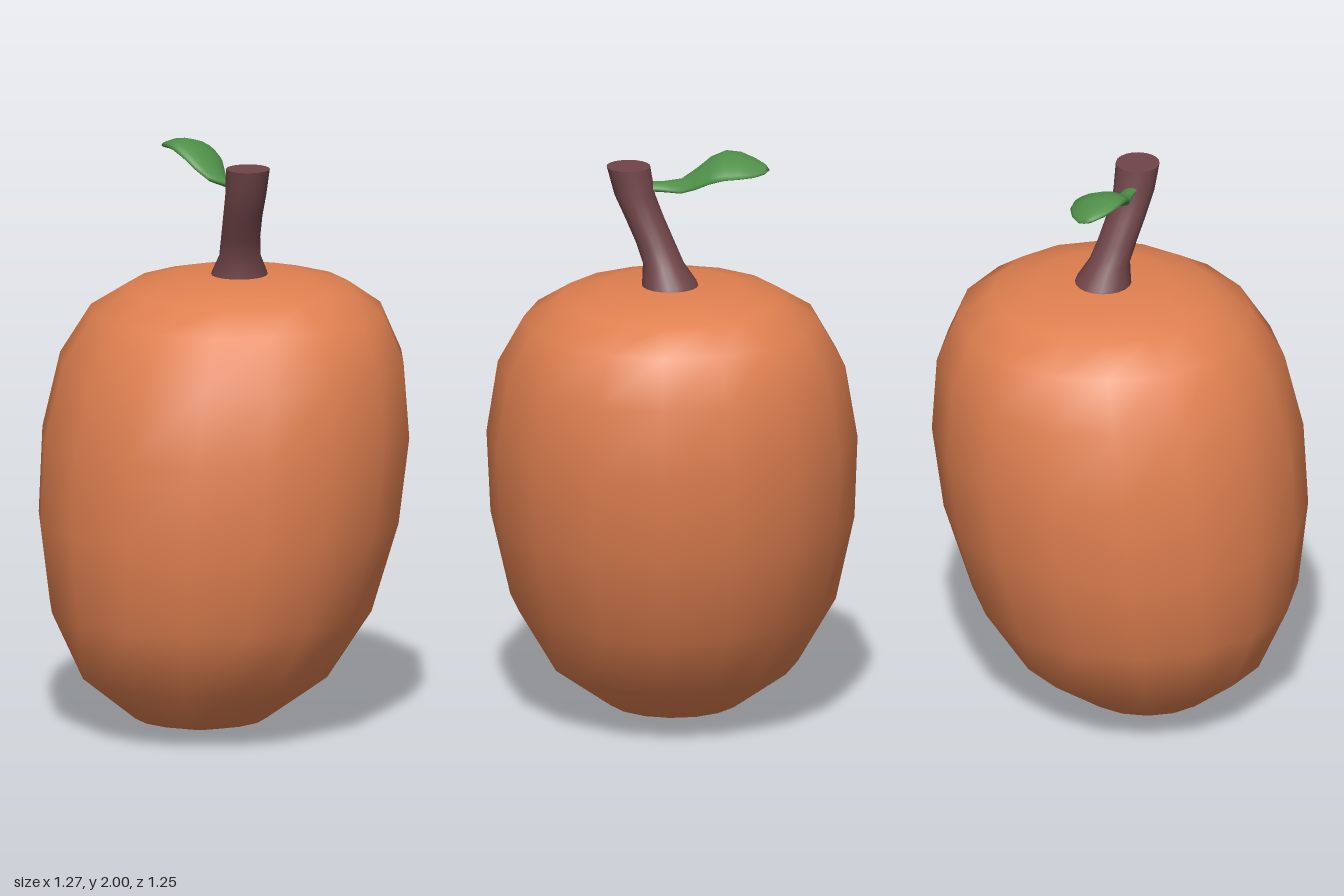
import * as THREE from 'three';
import { mergeVertices } from 'three/addons/utils/BufferGeometryUtils.js';

// Smooth skin over closed rings; point(ring, angle) gives [x, y, z]
function loft(rings, sides, point) {
  const pos = [], index = [];
  rings.forEach((ring, i) => {
    for (let j = 0; j < sides; j++) {
      pos.push(...point(ring, (j / sides) * Math.PI * 2));
      if (i === rings.length - 1) continue;
      const k = (j + 1) % sides;
      const a = i * sides + j, b = i * sides + k;
      const c = a + sides, d = b + sides;
      index.push(a, c, b, b, c, d);
    }
  });
  const geo = new THREE.BufferGeometry();
  geo.setAttribute('position', new THREE.Float32BufferAttribute(pos, 3));
  geo.setIndex(index);
  const merged = mergeVertices(geo, 1e-5);
  merged.computeVertexNormals();
  return merged;
}

// Horizontal ring: [y, centreX, centreZ, radiusX, radiusZ]
const flatRing = ([y, cx, cz, rx, rz = rx], a) =>
  [cx + rx * Math.cos(a), y, cz + rz * Math.sin(a)];

// Leaf ring: [z, centreX, centreY, halfWidth, halfThickness], rolled to one side, edges drooping
const leafRing = ([z, cx, cy, w, t], a) => {
  const u = w * Math.cos(a);
  return [cx + u, cy + t * Math.sin(a) - 0.22 * u - 2 * u * u, z];
};

export function createModel() {
  const group = new THREE.Group();
  const add = (name, geo, color, side = THREE.FrontSide) => {
    const mesh = new THREE.Mesh(geo, new THREE.MeshStandardMaterial({ color, side }));
    mesh.name = name;
    group.add(mesh);
    return mesh;
  };

  // Leaning fruit body with a closed bottom and a nearly flat top
  add('fruitBody', loft([
    [0.005, -0.10, 0, 0],
    [0.055, -0.095, 0, 0.225],
    [0.20, -0.08, 0, 0.42],
    [0.43, -0.053, 0, 0.55],
    [0.73, -0.02, 0, 0.615],
    [1.02, 0.01, 0, 0.627],
    [1.275, 0.035, 0, 0.587],
    [1.44, 0.055, 0, 0.498],
    [1.52, 0.065, 0, 0.375],
    [1.555, 0.068, 0, 0.23],
    [1.563, 0.07, 0, 0],
  ], 16, flatRing), 0xe08050);

  // Bent stem, flared where it meets the fruit
  const stemColor = 0x704549;
  add('stem', loft([
    [1.54, 0.065, 0, 0.10],
    [1.57, 0.063, 0.005, 0.093],
    [1.63, 0.05, 0.026, 0.07],
    [1.70, 0.032, 0.055, 0.066],
    [1.78, 0.014, 0.092, 0.066],
    [1.86, 0.001, 0.127, 0.069],
    [1.955, -0.005, 0.148, 0.074],
  ], 20, flatRing), stemColor);
  const cap = add('stemTop', new THREE.CircleGeometry(0.074, 20), stemColor);
  cap.rotation.x = -Math.PI / 2;
  cap.position.set(-0.005, 1.955, 0.148);

  // Cupped leaf growing backwards from the stem
  add('leaf', loft([
    [0.085, -0.008, 1.885, 0.024, 0.013],
    [0.03, -0.006, 1.885, 0.027, 0.014],
    [-0.03, -0.003, 1.89, 0.042, 0.016],
    [-0.08, 0, 1.92, 0.064, 0.019],
    [-0.13, 0.003, 1.958, 0.086, 0.021],
    [-0.18, 0.005, 1.979, 0.095, 0.021],
    [-0.23, 0.005, 1.977, 0.087, 0.019],
    [-0.28, 0.005, 1.964, 0.061, 0.015],
    [-0.315, 0.005, 1.955, 0.029, 0.01],
    [-0.33, 0.005, 1.952, 0, 0],
  ], 16, leafRing), 0x4f9048, THREE.DoubleSide);

  return group;
}
